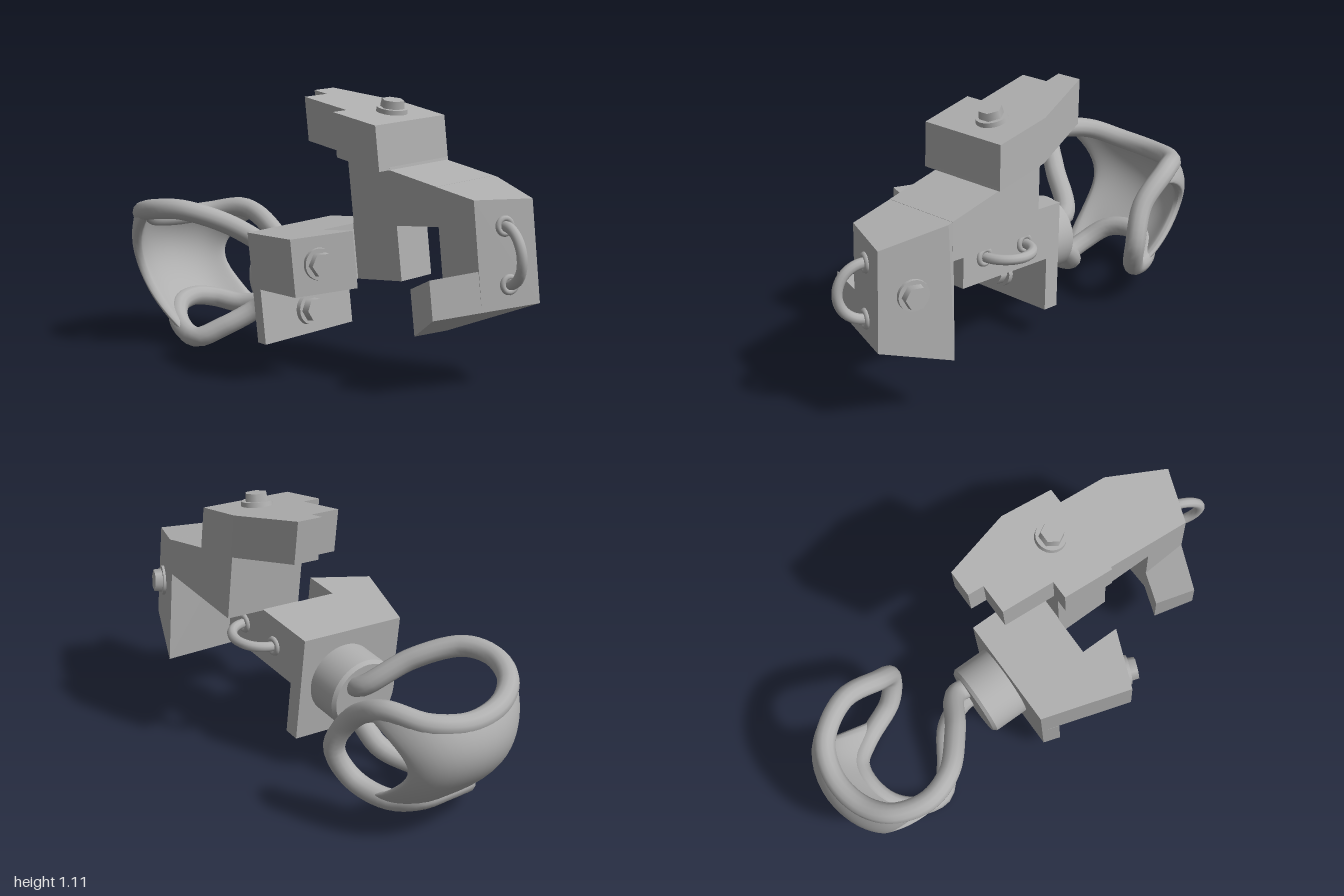
import * as THREE from 'three';
import { ConvexGeometry } from 'three/addons/geometries/ConvexGeometry.js';
import { ParametricGeometry } from 'three/addons/geometries/ParametricGeometry.js';

const grey = new THREE.MeshStandardMaterial({ color: 0xb0b0b0, side: THREE.DoubleSide });

function part(name, geometry, parent, x = 0, y = 0, z = 0) {
  const mesh = new THREE.Mesh(geometry, grey);
  mesh.name = name;
  mesh.position.set(x, y, z);
  parent.add(mesh);
  return mesh;
}

const shapeOf = (pts) => new THREE.Shape(pts.map(([a, b]) => new THREE.Vector2(a, b)));

// Prism standing on y0, from a plan outline of [x, z] points
function planPrism(pts, y0, y1) {
  const g = new THREE.ExtrudeGeometry(shapeOf(pts.map(([x, z]) => [x, -z])), { depth: y1 - y0, bevelEnabled: false });
  return g.rotateX(-Math.PI / 2).translate(0, y0, 0);
}

// Prism running from x0 to x1, from a side outline of [z, y] points
function sidePrism(pts, x0, x1) {
  const g = new THREE.ExtrudeGeometry(shapeOf(pts.map(([z, y]) => [-z, y])), { depth: x1 - x0, bevelEnabled: false });
  return g.rotateY(Math.PI / 2).translate(x0, 0, 0);
}

const hull = (pts) => new ConvexGeometry(pts.map((p) => new THREE.Vector3(...p)));

// Hex bolt with washer, pointing along its own +z
function addBolt(name, parent, pos, rx, ry) {
  const bolt = new THREE.Group();
  bolt.name = name;
  part('washer', new THREE.CylinderGeometry(0.062, 0.065, 0.03, 28).rotateX(Math.PI / 2), bolt);
  part('hexHead', new THREE.CylinderGeometry(0.047, 0.052, 0.05, 6).rotateY(Math.PI / 6).rotateX(Math.PI / 2), bolt, 0, 0, 0.022);
  bolt.position.set(...pos);
  bolt.rotation.set(rx, ry, 0);
  parent.add(bolt);
}

// Half-ring handle with a collar at each foot, bulging along its own +z
function addLoop(name, parent, pos, yaw, roll) {
  const loop = new THREE.Group();
  loop.name = name;
  part('ring', new THREE.TorusGeometry(0.112, 0.021, 10, 24, Math.PI).rotateX(Math.PI / 2), loop);
  for (const s of [-1, 1]) part('collar', new THREE.TorusGeometry(0.029, 0.012, 8, 20), loop, s * 0.112, 0, 0.002);
  loop.position.set(...pos);
  loop.rotation.set(0, yaw, roll);
  parent.add(loop);
}

function buildBase() {
  const base = new THREE.Group();
  base.name = 'base';
  part('baseBody', planPrism([
    [-0.24, -0.093], [-0.356, 0.28], [-0.113, 0.377], [-0.113, 0.211],
    [0.06, 0.211], [0.06, 0.45], [0.235, 0.45], [0.235, -0.093],
  ], 0.352, 0.578), base);
  part('backPlate', planPrism([[-0.24, -0.093], [-0.263, -0.022], [0.235, -0.022], [0.235, -0.093]], 0.127, 0.352), base);
  part('hub', new THREE.CylinderGeometry(0.155, 0.155, 0.17, 40).rotateX(-Math.PI / 2), base, 0.03, 0.361, -0.155);
  part('hubRim', new THREE.CylinderGeometry(0.142, 0.155, 0.014, 40).rotateX(-Math.PI / 2), base, 0.03, 0.361, -0.247);
  addBolt('lugBolt', base, [-0.255, 0.469, 0.322], 0, -0.38);
  addBolt('plateBolt', base, [-0.014, 0.228, -0.018], 0, 0);
  addLoop('barLoop', base, [0.235, 0.457, 0.226], Math.PI / 2, 0);
  return base;
}

function buildGrip() {
  const grip = new THREE.Group();
  grip.name = 'grip';

  // Stepped top plate, sheared so that it climbs to the rear
  const plate = planPrism([
    [0.002, 0.436], [0.408, 0.436], [0.414, 0.204], [0.318, -0.092], [0.206, -0.092],
    [0.206, -0.022], [0.079, -0.022], [0.079, 0.211], [0.002, 0.211],
  ], 0.792, 0.973);
  const p = plate.attributes.position;
  for (let i = 0; i < p.count; i++) p.setY(i, p.getY(i) + 0.262 * (0.436 - p.getZ(i)));
  plate.computeVertexNormals();
  part('topPlate', plate, grip);

  part('arm', sidePrism([
    [0.214, 0.573], [0.673, 0.573], [0.673, 0.728], [0.437, 0.792], [0.432, 0.85], [0.214, 0.9],
  ], 0.06, 0.402), grip);

  part('frontBlock', hull([
    [0.06, 0.678, 0.855], [0.297, 0.654, 0.944], [0.402, 0.722, 0.693], [0.402, 0.728, 0.67], [0.06, 0.728, 0.67],
    [0.06, 0.25, 0.85], [0.295, 0.25, 0.942], [0.4, 0.168, 0.652], [0.06, 0.17, 0.665],
  ]), grip);
  part('frontLug', hull([
    [-0.133, 0.25, 0.774], [0.065, 0.25, 0.852], [-0.075, 0.17, 0.62], [0.065, 0.17, 0.667],
    [-0.133, 0.404, 0.774], [0.065, 0.408, 0.852], [-0.075, 0.353, 0.62], [0.065, 0.353, 0.667],
  ]), grip);

  addBolt('topBolt', grip, [0.237, 1.01, 0.31], -Math.PI / 2 + 0.256, 0);
  addBolt('sideBolt', grip, [0.345, 0.466, 0.816], 0, 1.22);
  addLoop('frontLoop', grip, [0.176, 0.453, 0.897], -0.36, Math.PI / 2);
  return grip;
}

function buildHook() {
  const hook = new THREE.Group();
  hook.name = 'hook';
  const vec = (a) => a.map((q) => new THREE.Vector3(...q));

  // Upper and lower rims, both running from the hub to the shared tip
  const upper = vec([
    [0.05, 0.38, -0.22], [0.06, 0.42, -0.33], [-0.1, 0.54, -0.44], [-0.25, 0.605, -0.57],
    [-0.295, 0.6, -0.7], [-0.25, 0.57, -0.84], [-0.14, 0.53, -0.92], [0.02, 0.515, -0.945],
    [0.17, 0.53, -0.89], [0.265, 0.55, -0.74], [0.285, 0.45, -0.57], [0.315, 0.3, -0.495],
  ]);
  const lower = vec([
    [0.06, 0.28, -0.22], [0.06, 0.26, -0.31], [0.03, 0.17, -0.41], [-0.09, 0.09, -0.5],
    [-0.17, 0.045, -0.58], [-0.155, 0.09, -0.71], [-0.09, 0.15, -0.79], [0.02, 0.17, -0.82],
    [0.12, 0.155, -0.8], [0.2, 0.13, -0.7], [0.265, 0.17, -0.55], [0.315, 0.3, -0.495],
  ]);
  const loop = new THREE.CatmullRomCurve3([...upper, ...lower.slice(0, -1).reverse()]);
  part('hookRim', new THREE.TubeGeometry(loop, 120, 0.043, 12), hook);

  // Bulging web between the rims; its ends curve inwards to leave two oval openings
  const up = new THREE.CatmullRomCurve3(upper);
  const low = new THREE.CatmullRomCurve3(lower);
  const a = new THREE.Vector3();
  const b = new THREE.Vector3();
  const web = new ParametricGeometry((s, t, out) => {
    const v = 2 * t - 1;
    const ang = s * 2 * Math.PI;
    const flare = 1.1 * v * v;
    const u = (6.85 + (1.55 + flare) * Math.cos(ang)) / 11;
    const sn = Math.sin(ang);
    const offset = 0.036 * Math.sign(sn) * Math.pow(Math.abs(sn), 0.5);
    up.getPoint(u, a);
    low.getPoint(u, b);
    out.lerpVectors(b, a, t);
    const dx = out.x - 0.02;
    const dz = out.z + 0.62;
    const k = (0.08 * (1 - v * v) + offset) / Math.hypot(dx, dz);
    out.x += dx * k;
    out.z += dz * k;
  }, 48, 18);
  web.computeVertexNormals();
  part('hookWeb', web, hook);
  return hook;
}

export function createModel() {
  const model = new THREE.Group();
  model.name = 'clampHook';
  // Both clamp halves share one slight tilt
  const clamp = new THREE.Group();
  clamp.name = 'clamp';
  clamp.rotation.set(-0.08, 0, 0.05);
  clamp.add(buildBase(), buildGrip());
  model.add(clamp, buildHook());
  return model;
}
